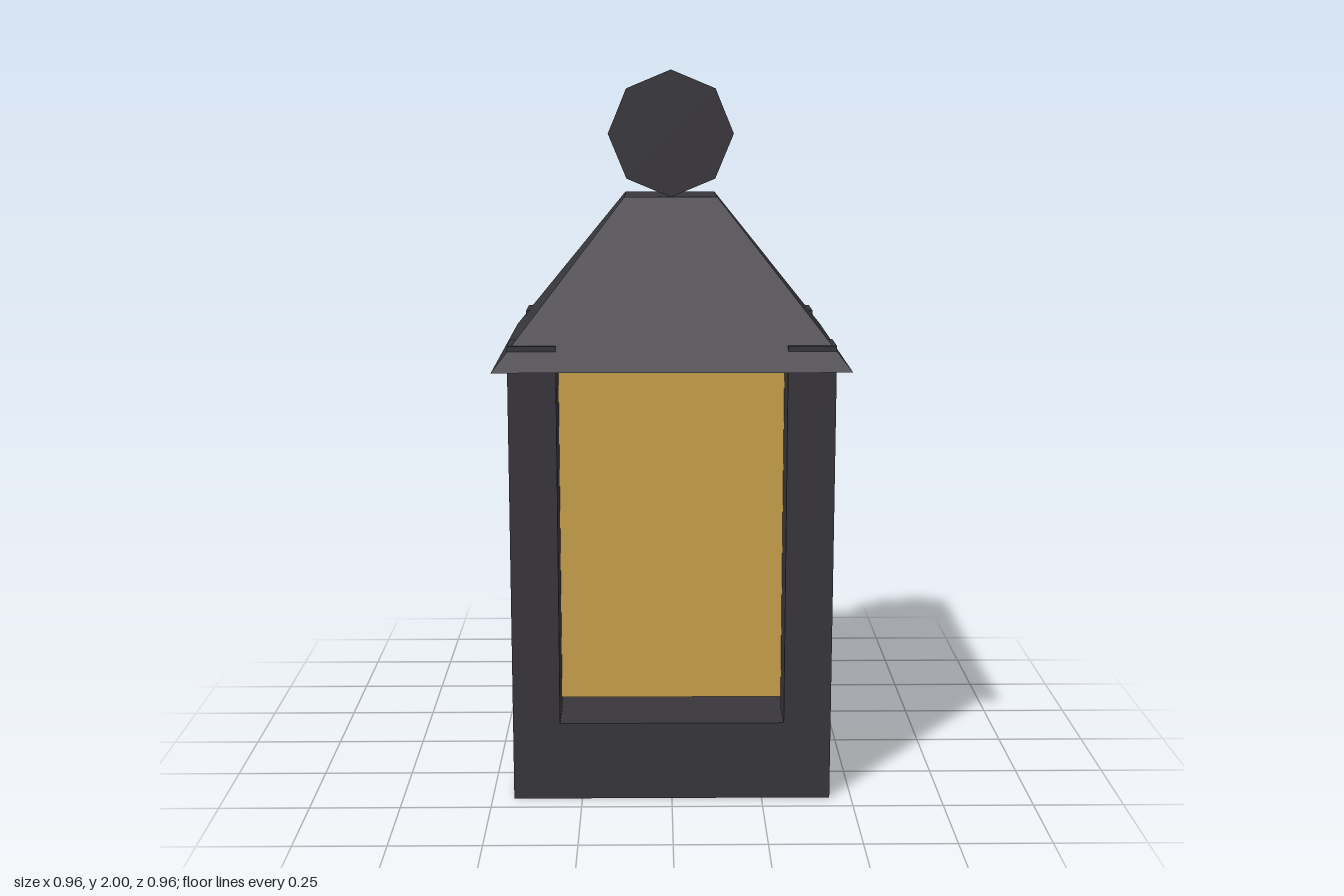
import * as THREE from 'three';

export function createModel() {
  const lantern = new THREE.Group();
  lantern.name = 'lantern';

  const iron = new THREE.MeshStandardMaterial({ color: 0x38363c, flatShading: true });
  iron.name = 'dark iron';
  const amber = new THREE.MeshStandardMaterial({ color: 0xc9a24b, flatShading: true });
  amber.name = 'amber glass';

  const add = (name, geometry, material, x, y, z) => {
    const mesh = new THREE.Mesh(geometry, material);
    mesh.name = name;
    mesh.position.set(x, y, z);
    lantern.add(mesh);
  };

  // Base block
  add('base', new THREE.BoxGeometry(0.88, 0.22, 0.88), iron, 0, 0.11, 0);

  // Corner posts, whose tops just pierce the roof slopes
  const postBottom = 0.22, postTop = 1.275, postWidth = 0.13;
  const postGeometry = new THREE.BoxGeometry(postWidth, postTop - postBottom, postWidth);
  for (const x of [-1, 1])
    for (const z of [-1, 1])
      add(`${z > 0 ? 'front' : 'back'}${x > 0 ? 'Left' : 'Right'}Post`, postGeometry, iron,
        x * 0.375, (postBottom + postTop) / 2, z * 0.375);

  // Glass body, floating a little above the base
  add('glass', new THREE.BoxGeometry(0.62, 0.97, 0.62), amber, 0, 0.25 + 0.485, 0);

  // Four-sided roof with a flat top
  const roof = new THREE.CylinderGeometry(0.13 * Math.SQRT2, 0.48 * Math.SQRT2, 0.44, 4);
  roof.rotateY(Math.PI / 4);
  add('roof', roof, iron, 0, 1.43, 0);

  // Octagonal handle lying front to back, resting on one edge
  const handle = new THREE.CylinderGeometry(0.175, 0.175, 0.26, 8);
  handle.rotateX(Math.PI / 2);
  add('handle', handle, iron, 0, 1.825, 0);

  return lantern;
}
